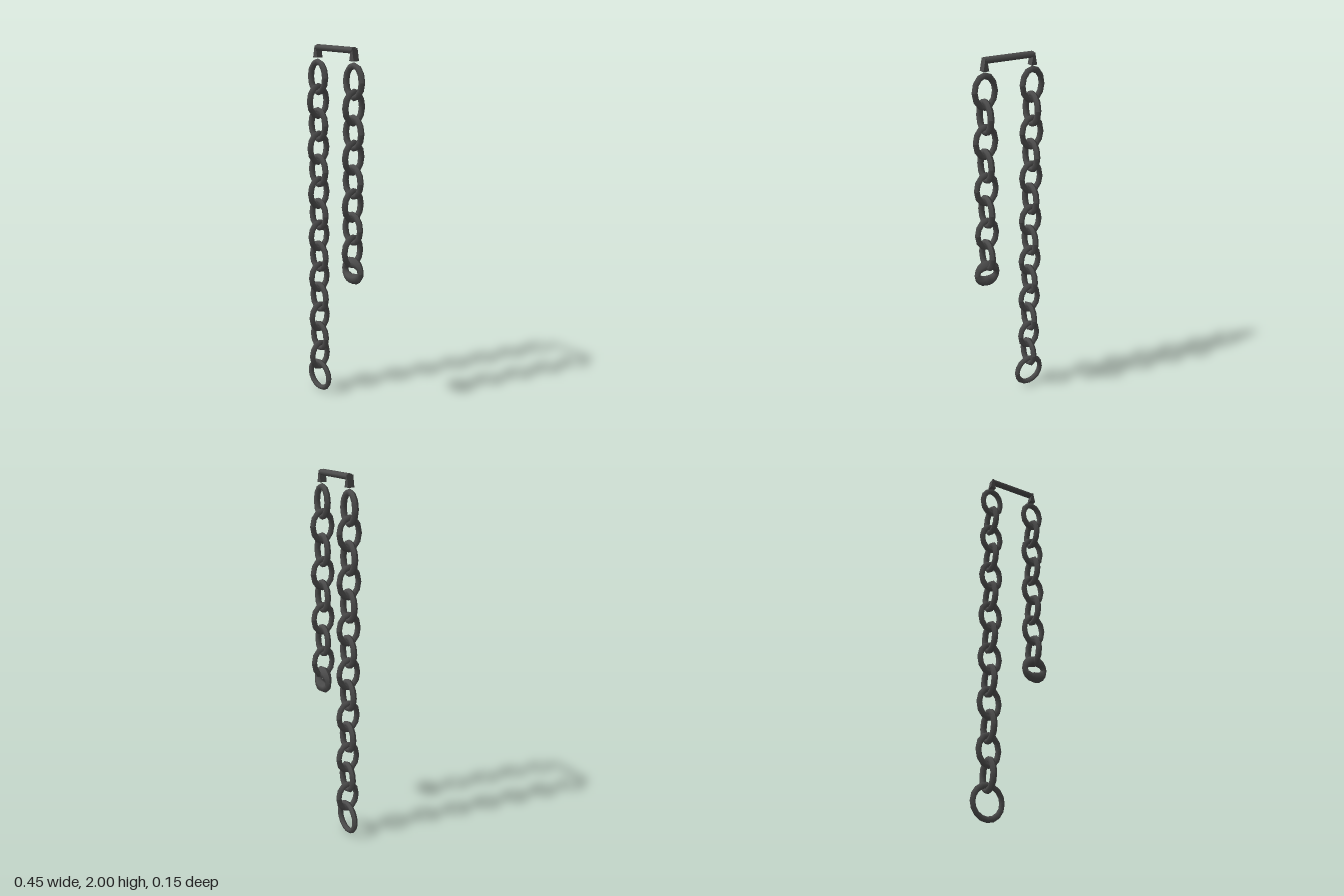
import * as THREE from 'three';

const iron = new THREE.MeshStandardMaterial({ color: 0x4c4c4c });
iron.name = 'darkIron';

// Closed oval ring in the xy plane: half width a, half height b (outer), tube radius by angle
function ringGeometry(a, b, tubeAt, sides = 6, steps = 12) {
  const g = new THREE.TorusGeometry(1, 0.25, sides, steps);
  const p = g.attributes.position;
  for (let i = 0; i < p.count; i++) {
    const x = p.getX(i), y = p.getY(i), z = p.getZ(i);
    const u = Math.atan2(y, x), r = tubeAt(u);
    const out = (Math.hypot(x, y) - 1) / 0.25;
    const c = Math.cos(u), s = Math.sin(u);
    p.setXYZ(i, c * (a - r + out * r), s * (b - r + out * r), z / 0.25 * r);
  }
  g.computeVertexNormals();
  return g;
}

const linkGeometry = ringGeometry(0.073, 0.094, () => 0.0165);

function add(parent, name, geometry, x, y, turn = 0) {
  const m = new THREE.Mesh(geometry, iron);
  m.name = name;
  m.position.set(x, y, 0);
  m.rotation.y = turn;
  parent.add(m);
  return m;
}

// Alternating links, each turned a quarter from the last
function chain(name, x, count, pitch) {
  const g = new THREE.Group();
  g.name = name;
  for (let i = 0; i < count; i++) {
    add(g, 'chainLink', linkGeometry, x, 1.836 - i * pitch, i % 2 ? Math.PI / 2 : 0);
  }
  return g;
}

export function createModel() {
  const model = new THREE.Group();
  model.name = 'hangingChains';
  const longX = -0.128, shortX = 0.144;

  // Top bar, flat underneath
  const barGeometry = new THREE.CylinderGeometry(0.02, 0.02, shortX - longX, 8, 1, false, Math.PI / 8);
  barGeometry.rotateZ(Math.PI / 2);
  barGeometry.scale(1, 0.8, 1.05);
  add(model, 'topBar', barGeometry, (longX + shortX) / 2, 1.985);

  // Wedge brackets under the bar ends
  const wedge = new THREE.Shape([
    new THREE.Vector2(-0.016, -0.025), new THREE.Vector2(0.016, -0.025),
    new THREE.Vector2(0.004, 0.035), new THREE.Vector2(-0.004, 0.035),
  ]);
  const wedgeGeometry = new THREE.ExtrudeGeometry(wedge, { depth: 0.036, bevelEnabled: false });
  wedgeGeometry.translate(0, 0, -0.018);
  for (const x of [longX, shortX]) add(model, 'barBracket', wedgeGeometry, x, 1.96);

  // Long chain with a round end ring
  model.add(chain('longChain', longX, 14, 0.1233));
  add(model, 'endRing', ringGeometry(0.096, 0.098, () => 0.0155, 6, 16), longX - 0.002, 0.1);

  // Short chain with a thick ring, pinched at the sides
  model.add(chain('shortChain', shortX, 8, 0.126));
  const pinched = (u) => 0.014 + 0.017 * Math.abs(Math.sin(u - 0.15));
  add(model, 'thickEndRing', ringGeometry(0.077, 0.077, pinched, 6, 16), shortX + 0.004, 0.846);

  return model;
}
